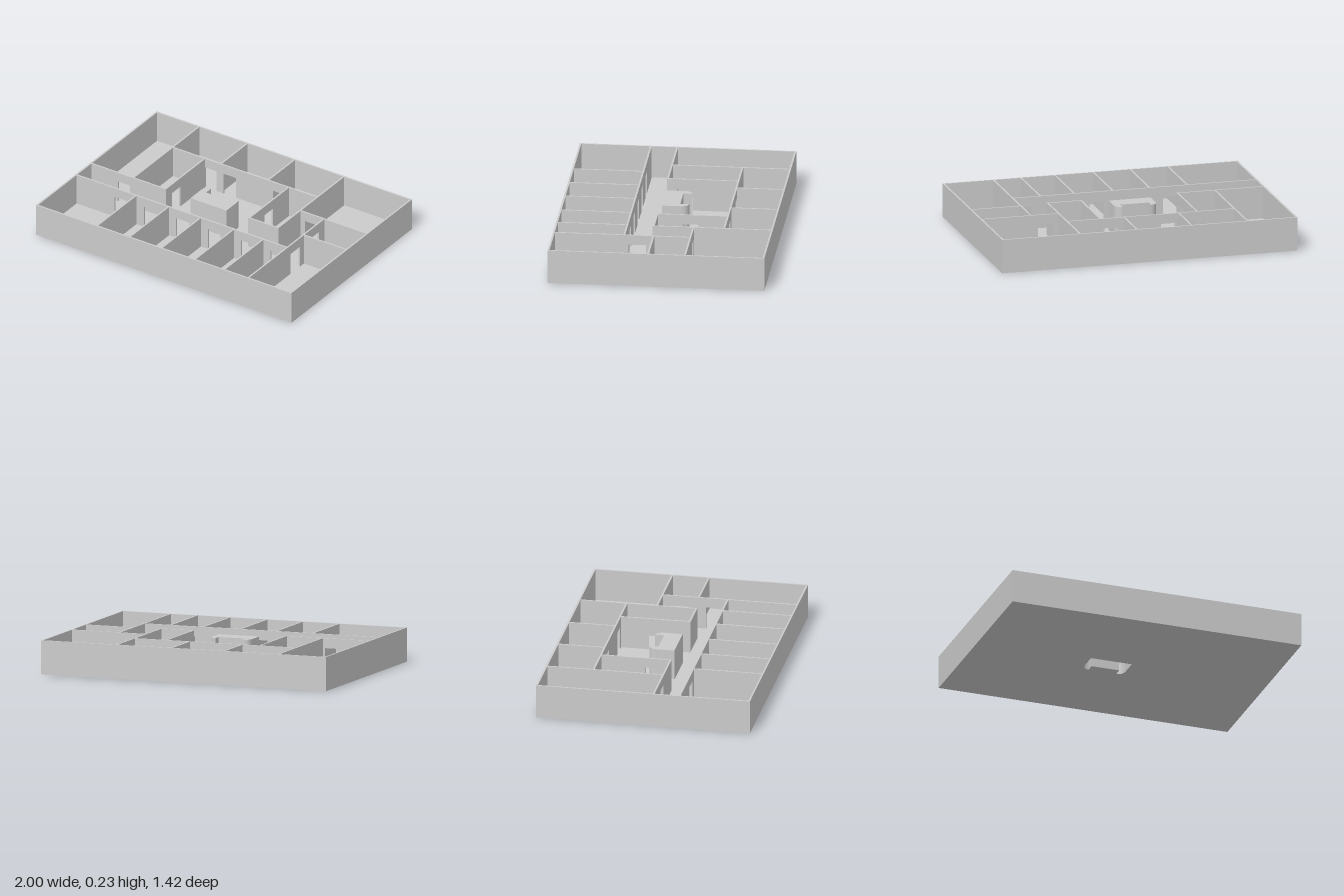
import * as THREE from 'three';

const X = 1, Z = 0.71;       // half extents of the building
const H = 0.225;             // wall top
const T = 0.012;             // wall thickness
const FLOOR = 0.01;          // slab thickness
const DOOR = 0.16;           // door opening top

const material = new THREE.MeshStandardMaterial({ color: 0xcccccc, flatShading: true });
const thin = new THREE.MeshStandardMaterial({ color: 0xcccccc, flatShading: true, side: THREE.DoubleSide });

// Straight wall along 'x' or 'z' at a fixed offset, with door openings [from, to]
function wall(name, axis, at, from, to, doors = []) {
  const group = new THREE.Group();
  group.name = name;
  const piece = (part, a, b, y0, y1) => {
    if (b - a < 1e-4) return;
    const [w, d] = axis === 'x' ? [b - a, T] : [T, b - a];
    const mesh = new THREE.Mesh(new THREE.BoxGeometry(w, y1 - y0, d), material);
    const mid = (a + b) / 2;
    mesh.position.set(axis === 'x' ? mid : at, (y0 + y1) / 2, axis === 'x' ? at : mid);
    mesh.name = part;
    group.add(mesh);
  };
  let start = from;
  for (const [a, b] of doors) {
    piece('wallPanel', start, a, FLOOR, H);
    piece('doorHeader', a, b, DOOR, H);
    start = b;
  }
  piece('wallPanel', start, to, FLOOR, H);
  return group;
}

// U-shaped counter outline with rounded outer corners at the back
function counterOutline(Kind) {
  const p = new Kind();
  p.moveTo(-0.223, 0.06);
  p.lineTo(0.06, 0.06);
  p.lineTo(0.06, -0.065);
  p.quadraticCurveTo(0.055, -0.11, 0.015, -0.115);
  p.lineTo(0.015, -0.056);
  p.lineTo(-0.177, -0.056);
  p.lineTo(-0.177, -0.115);
  p.quadraticCurveTo(-0.218, -0.11, -0.223, -0.065);
  p.closePath();
  return p;
}

// Slab, open beneath the counter
function floorSlab() {
  const shape = new THREE.Shape();
  shape.moveTo(-X, -Z);
  shape.lineTo(X, -Z);
  shape.lineTo(X, Z);
  shape.lineTo(-X, Z);
  shape.closePath();
  shape.holes.push(counterOutline(THREE.Path));
  const geo = new THREE.ExtrudeGeometry(shape, { depth: FLOOR, bevelEnabled: false, curveSegments: 8 });
  geo.rotateX(Math.PI / 2).translate(0, FLOOR, 0);
  const mesh = new THREE.Mesh(geo, material);
  mesh.name = 'floorSlab';
  return mesh;
}

// Hollow counter: side skin following the outline, closed by a top
function counter() {
  const group = new THREE.Group();
  group.name = 'receptionCounter';
  const height = 0.212;
  const shape = counterOutline(THREE.Shape);
  const pts = shape.getPoints(8);
  const n = pts.length - 1;
  const skin = new THREE.PlaneGeometry(1, 1, n, 1);
  const pos = skin.attributes.position;
  for (let i = 0; i < pos.count; i++) {
    const p = pts[n - (i % (n + 1))];
    pos.setXYZ(i, p.x, i <= n ? height : 0, p.y);
  }
  const sideGeo = skin.toNonIndexed();
  sideGeo.computeVertexNormals();
  const sides = new THREE.Mesh(sideGeo, thin);
  sides.name = 'counterSides';
  const top = new THREE.Mesh(new THREE.ShapeGeometry(shape, 8).rotateX(Math.PI / 2), thin);
  top.position.y = height;
  top.name = 'counterTop';
  group.add(sides, top);
  return group;
}

export function createModel() {
  const model = new THREE.Group();
  model.name = 'floorPlan';
  model.add(floorSlab(), counter());

  // Outer walls
  const e = T / 2;
  for (const s of [-1, 1]) {
    model.add(wall(s > 0 ? 'frontWall' : 'backWall', 'x', s * (Z - e), -X, X));
    model.add(wall(s > 0 ? 'leftWall' : 'rightWall', 'z', s * (X - e), -Z + T, Z - T));
  }

  // Corridor and lobby walls: axis, offset, start, end, doors
  const inner = [
    ['x', -0.392, -0.665, 0.47, [[-0.405, -0.315], [-0.26, -0.165], [0.125, 0.22]]],
    ['x', 0.07, -X, -0.405, [[-0.78, -0.685]]],
    ['x', 0.07, 0.24, 0.475],
    ['x', -0.19, 0.47, X, [[0.51, 0.61]]],
    ['x', 0.052, 0.655, X],
    ['x', 0.243, -X, 0.655, [[-0.69, -0.59], [-0.46, -0.36], [-0.21, -0.11], [0.04, 0.14], [0.3, 0.4], [0.53, 0.63]]],
    ['z', -0.663, -Z, 0.07],
    ['z', -0.41, -0.392, 0.07, [[-0.095, 0.005]]],
    ['z', 0.245, -0.392, 0.07, [[-0.2, -0.1]]],
    ['z', 0.47, -Z, 0.07],
    ['z', 0.657, -0.19, Z, [[-0.12, -0.02], [0.1, 0.215]]],
  ];
  for (const w of inner) model.add(wall('corridorWall', ...w));

  // Partitions between the back rooms and between the front rooms
  for (const x of [-0.285, 0.085]) model.add(wall('backPartition', 'z', x, -Z, -0.392));
  for (const x of [-0.525, -0.27, -0.02, 0.24, 0.47]) model.add(wall('frontPartition', 'z', x, 0.243, Z));

  return model;
}
